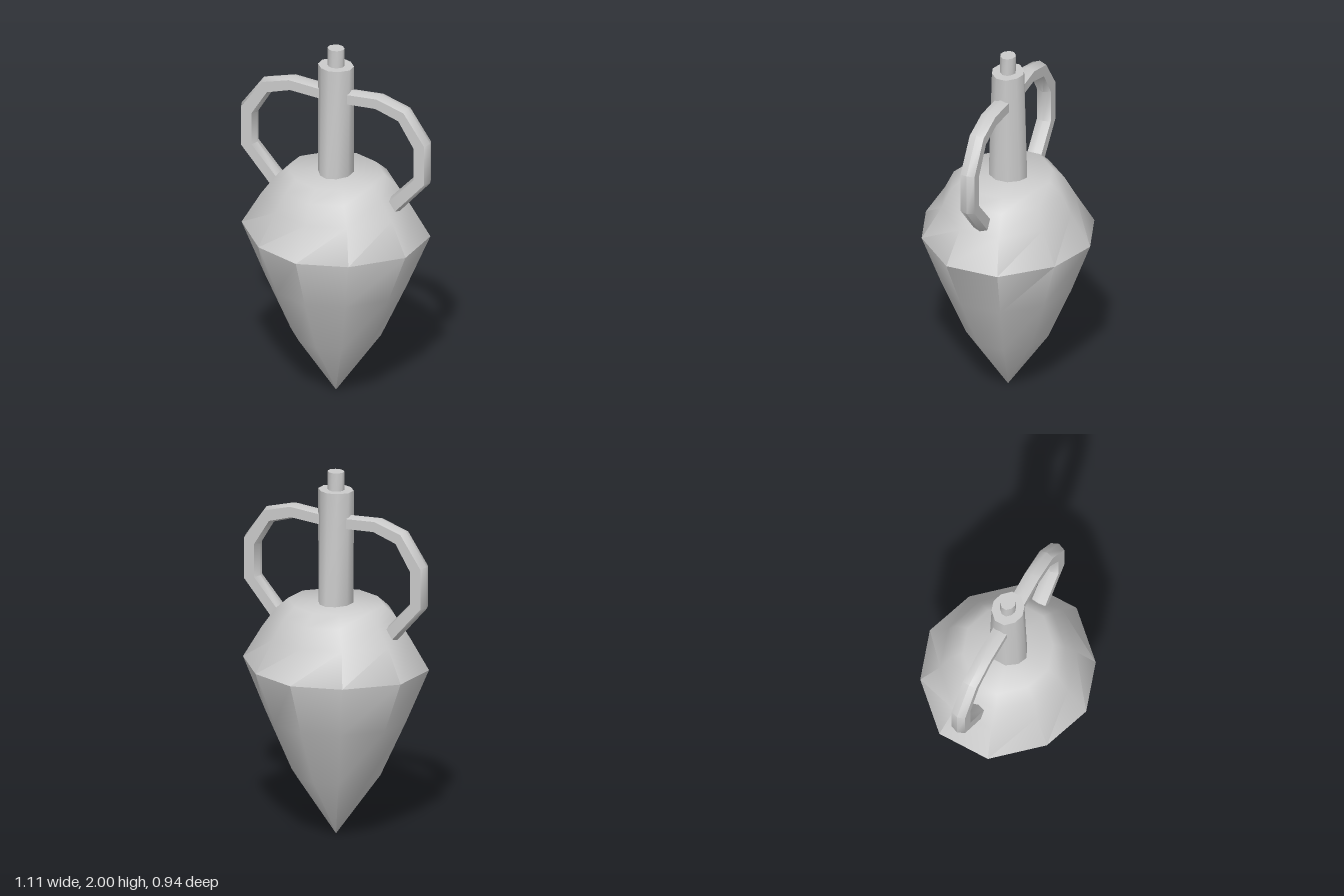
import * as THREE from 'three';
import { toCreasedNormals } from 'three/addons/utils/BufferGeometryUtils.js';

const material = new THREE.MeshStandardMaterial({ color: 0xcccccc });

// Skins a list of equal-length rings (counterclockwise about the path) and caps both ends.
function loft(rings) {
  const pos = [];
  const tri = (a, b, c) => {
    const area = b.clone().sub(a).cross(c.clone().sub(a)).length();
    if (area > 1e-9) for (const p of [a, b, c]) pos.push(p.x, p.y, p.z);
  };
  const centre = (ring) => ring.reduce((s, p) => s.add(p), new THREE.Vector3()).divideScalar(ring.length);
  const first = rings[0], last = rings[rings.length - 1];
  const c0 = centre(first), c1 = centre(last), n = first.length;
  for (let i = 0; i < n; i++) {
    const j = (i + 1) % n;
    for (let k = 0; k < rings.length - 1; k++) {
      const a = rings[k], b = rings[k + 1];
      tri(a[i], a[j], b[j]);
      tri(a[i], b[j], b[i]);
    }
    tri(c0, first[j], first[i]);
    tri(c1, last[i], last[j]);
  }
  const geometry = new THREE.BufferGeometry();
  geometry.setAttribute('position', new THREE.Float32BufferAttribute(pos, 3));
  return toCreasedNormals(geometry, THREE.MathUtils.degToRad(50));
}

// Ten-sided ring with flat left and right sides: half-width rx, half-depth rz.
const quarter = [[0, 1], [0.55, 0.81], [1, 0.31]];
const outline = [
  ...quarter,
  ...quarter.slice(1).reverse().map(([x, z]) => [x, -z]),
  ...quarter.map(([x, z]) => [-x, -z]),
  ...quarter.slice(1).reverse().map(([x, z]) => [-x, z]),
];
const ring = ([y, rx, rz]) => outline.map(([x, z]) => new THREE.Vector3(x * rx, y, z * rz));

function part(name, geometry) {
  const mesh = new THREE.Mesh(geometry, material);
  mesh.name = name;
  return mesh;
}

// Handle stations: outer x, outer y, inner x, inner y
const handlePath = [
  [0.05, 1.77, 0.05, 1.69],
  [0.26, 1.785, 0.25, 1.702],
  [0.425, 1.738, 0.38, 1.66],
  [0.555, 1.56, 0.463, 1.525],
  [0.555, 1.33, 0.463, 1.35],
  [0.355, 1.105, 0.3, 1.175],
];

// Band section with a shallow ridge along its outer and inner faces
function handleGeometry() {
  const section = [[0, 0], [0.16, 0.04], [0.84, 0.04], [1, 0], [0.84, -0.04], [0.16, -0.04]];
  return loft(handlePath.map(([ox, oy, ix, iy]) =>
    section.map(([t, z]) => new THREE.Vector3(ox + (ix - ox) * t, oy + (iy - oy) * t, z))));
}

export function createModel() {
  const model = new THREE.Group();
  model.name = 'amphora';

  // Pointed body: y, half-width, half-depth
  model.add(part('body', loft([
    [0, 0, 0],
    [0.34, 0.23, 0.23],
    [0.65, 0.365, 0.362],
    [0.94, 0.483, 0.47],
    [1.115, 0.385, 0.36],
    [1.22, 0.312, 0.31],
    [1.28, 0.25, 0.24],
  ].map(ring))));

  // Neck tapers in depth only
  model.add(part('neck', loft([[1.26, 0.088, 0.11], [1.9, 0.093, 0.087]].map(ring))));

  // Stopper on top of the neck
  model.add(part('stopper', loft([[1.88, 0.044, 0.042], [2, 0.044, 0.042]].map(ring))));

  // Two handles, the right one turned half round
  const geometry = handleGeometry();
  const left = part('leftHandle', geometry);
  const right = part('rightHandle', geometry);
  right.rotation.y = Math.PI;
  model.add(left, right);

  return model;
}
